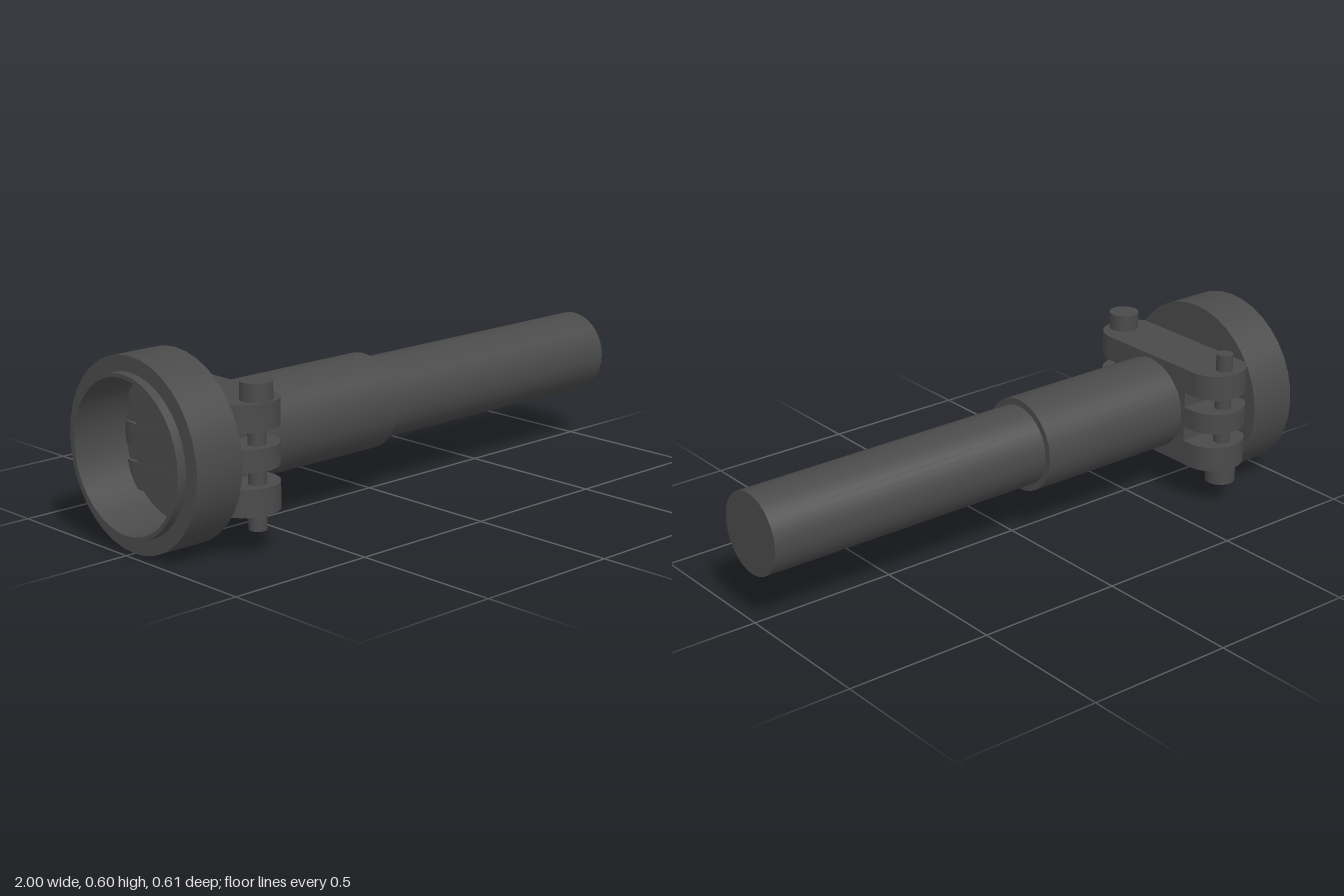
import * as THREE from 'three';
import { toCreasedNormals } from 'three/addons/utils/BufferGeometryUtils.js';

const AXIS_Y = 0.302;   // height of the main axis
const PIN_X = -0.7;     // position of the pins along the axis

export function createModel() {
  const model = new THREE.Group();
  model.name = 'clampedHandle';
  const material = new THREE.MeshStandardMaterial({ color: 0x4a4a4a });

  const add = (parent, name, geometry, x = 0, y = 0, z = 0) => {
    const mesh = new THREE.Mesh(geometry, material);
    mesh.name = name;
    mesh.position.set(x, y, z);
    parent.add(mesh);
    return mesh;
  };

  // Turned parts: profile points are [radius, x]
  const turned = (name, profile) => {
    const points = profile.map(([r, x]) => new THREE.Vector2(r, x));
    const geometry = toCreasedNormals(new THREE.LatheGeometry(points, 36), 0.6);
    geometry.rotateZ(-Math.PI / 2);
    return add(model, name, geometry, 0, AXIS_Y, 0);
  };

  // Hollow end cup with a thin floor and a narrow lip around its opening
  turned('endCup', [
    [0, -0.805], [0.24, -0.805], [0.24, -1], [0.253, -1], [0.253, -0.97],
    [0.302, -0.97], [0.302, -0.8], [0, -0.8],
  ]);

  // Stepped handle
  turned('collar', [[0, -0.7], [0.157, -0.7], [0.157, -0.03], [0.135, -0.03]]);
  turned('shaft', [[0.135, -0.03], [0.135, 1], [0, 1]]);

  // Clamp: three round-ended plates, let slightly into the cup floor
  const clamp = new THREE.Group();
  clamp.name = 'clamp';
  model.add(clamp);

  const h = 0.306, rear = 0.12, fore = 0.1;
  const outline = new THREE.Shape();
  outline.moveTo(-rear, -h + rear);
  outline.absarc(0, -h + rear, rear, Math.PI, Math.PI * 1.5);
  outline.absarc(0, -h + fore, fore, -Math.PI / 2, 0);
  outline.absarc(0, h - fore, fore, 0, Math.PI / 2);
  outline.absarc(0, h - rear, rear, Math.PI / 2, Math.PI);
  outline.closePath();

  const plates = [['lowerPlate', 0.131, 0.216], ['middlePlate', 0.267, 0.337], ['upperPlate', 0.388, 0.473]];
  for (const [name, bottom, top] of plates) {
    const geometry = new THREE.ExtrudeGeometry(outline, { depth: top - bottom, bevelEnabled: false, curveSegments: 8 });
    geometry.rotateX(-Math.PI / 2);
    add(clamp, name, toCreasedNormals(geometry, 0.6), PIN_X, bottom, 0);
  }

  // Core that joins the plates and leaves slots at both ends
  add(clamp, 'clampCore', new THREE.BoxGeometry(0.218, 0.338, 0.342), PIN_X - 0.01, AXIS_Y, 0);

  // Two opposed pins, the back one with its head below
  for (const [name, side] of [['frontPin', 1], ['backPin', -1]]) {
    const pin = new THREE.Group();
    pin.name = name;
    pin.position.set(PIN_X, AXIS_Y, 0.251 * side);
    model.add(pin);
    add(pin, 'pinShank', new THREE.CylinderGeometry(0.028, 0.028, 0.456, 20));
    add(pin, 'pinHead', new THREE.CylinderGeometry(0.05, 0.05, 0.06, 24), 0, 0.198 * side, 0);
  }

  return model;
}
